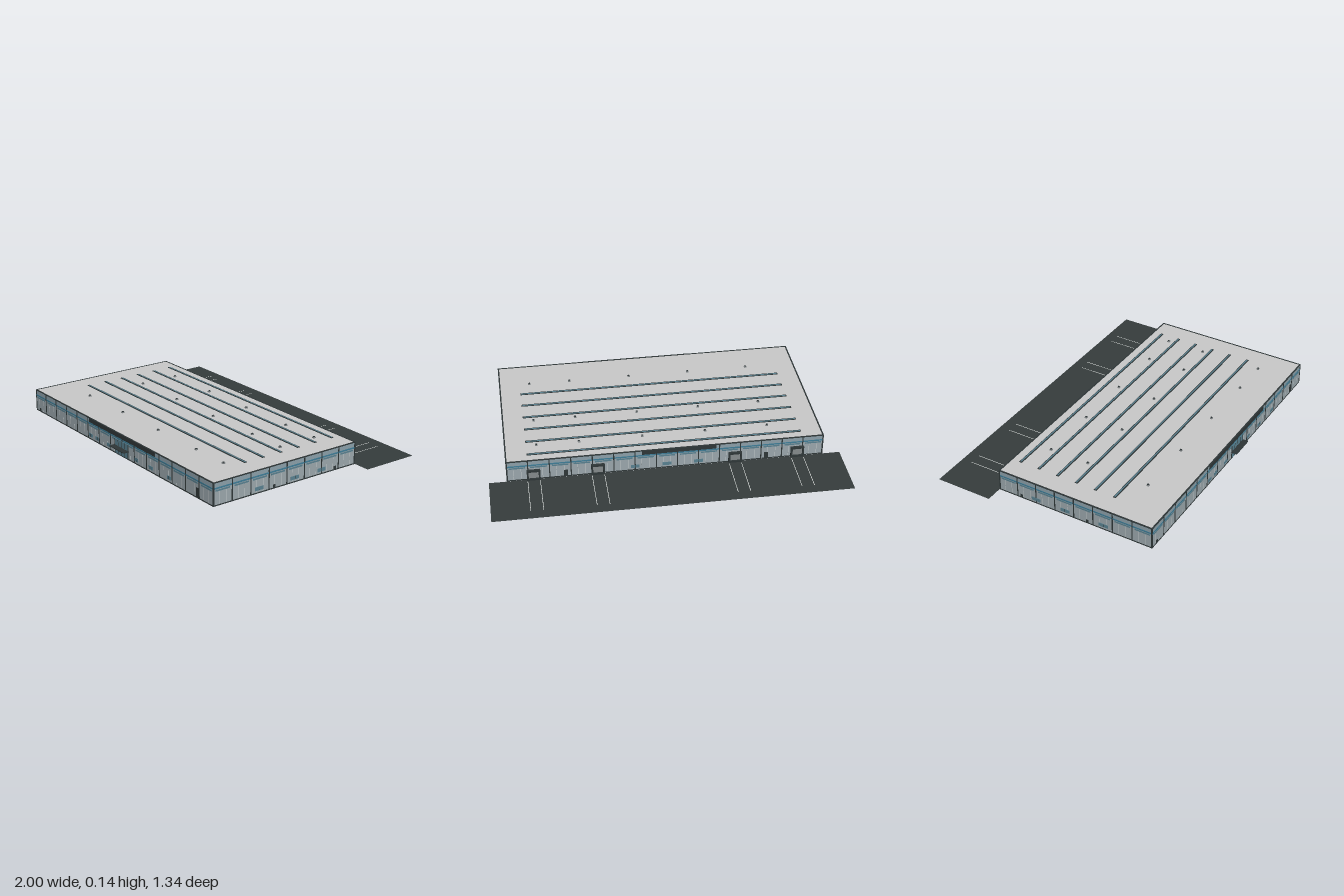
import * as THREE from 'three';

const mat = (name, color) => {
  const m = new THREE.MeshStandardMaterial({ color });
  m.name = name;
  return m;
};

export function createModel() {
  const model = new THREE.Group();
  model.name = 'warehouse';
  const M = {
    wall: mat('wall grey', 0x9aa6ab),
    upper: mat('upper cladding blue grey', 0x8b9fa8),
    dark: mat('charcoal', 0x2e3637),
    asphalt: mat('asphalt', 0x353c3c),
    roof: mat('roof grey', 0xc8c8c8),
    blue: mat('stripe blue', 0x3f7c96),
    glass: mat('glass blue', 0x58808f),
    seam: mat('pale seam', 0xc3cacc),
    line: mat('marking white', 0xe6e8e6),
    vent: mat('vent grey', 0x848a8c),
  };

  // Box centred on x and z, spanning y0 to y1
  const box = (parent, name, material, x, y0, y1, z, w, d) => {
    const m = new THREE.Mesh(new THREE.BoxGeometry(w, y1 - y0, d), material);
    m.position.set(x, (y0 + y1) / 2, z);
    m.name = name;
    parent.add(m);
    return m;
  };

  const W = 1.8, D = 0.96, CZ = 0.15, BAY = 0.12;

  // One clad wall, facing local +z with its outer face near z = 0
  const makeWall = (name, width, x, z, turn) => {
    const g = new THREE.Group();
    g.name = name;
    g.position.set(x, 0, z);
    g.rotation.y = turn;
    box(g, 'lowerCladding', M.wall, 0, 0, 0.095, -0.003, width, 0.004);
    box(g, 'upperCladding', M.upper, 0, 0.095, 0.128, -0.003, width, 0.004);
    box(g, 'plinth', M.dark, 0, 0, 0.006, -0.003, width, 0.007);
    box(g, 'blueStripe', M.blue, 0, 0.092, 0.101, -0.003, width, 0.007);
    box(g, 'coping', M.dark, 0, 0.126, 0.13, -0.003, width, 0.008);
    const bays = Math.round(width / BAY);
    for (let i = 0; i <= bays; i++) {
      const u = -width / 2 + i * BAY;
      const edge = i === 0 ? 0.003 : i === bays ? -0.003 : 0;
      box(g, 'pilaster', M.dark, u + edge, 0, 0.128, -0.003, 0.006, 0.008);
      if (i === bays) continue;
      // High window strip and panel seams in each bay
      box(g, 'stripWindow', M.glass, u + BAY / 2, 0.079, 0.088, -0.003, 0.092, 0.006);
      for (const k of [0.32, 0.68])
        box(g, 'panelSeam', M.seam, u + BAY * k, 0.008, 0.077, -0.003, 0.0025, 0.005);
    }
    model.add(g);
    return g;
  };

  const front = makeWall('frontWall', W, 0, CZ + D / 2, 0);
  const back = makeWall('backWall', W, 0, CZ - D / 2, Math.PI);
  const left = makeWall('leftWall', D, W / 2, CZ, Math.PI / 2);
  const right = makeWall('rightWall', D, -W / 2, CZ, -Math.PI / 2);

  // Low windows and doors
  const lowWindow = (g, u, w = 0.05) => {
    box(g, 'window', M.glass, u, 0.017, 0.037, -0.002, w, 0.007);
    box(g, 'windowMullion', M.dark, u, 0.017, 0.037, -0.002, 0.002, 0.0075);
  };
  const door = (g, u, top, w) => box(g, 'door', M.dark, u, 0.006, top, -0.002, w, 0.0075);
  for (const u of [-0.27, -0.2, -0.08, 0.2, 0.34, 0.51]) lowWindow(front, u, 0.035);
  door(front, 0.765, 0.058, 0.022);
  door(front, -0.85, 0.023, 0.014);
  for (const g of [left, right]) {
    const s = g === left ? 1 : -1;
    for (const z of [0.335, 0.095, -0.09]) lowWindow(g, s * (CZ - z), 0.056);
    for (const z of [0.235, -0.185]) door(g, s * (CZ - z), 0.024, 0.016);
  }

  // Dark fascia panels at the roof edge
  box(front, 'fascia', M.dark, 0.05, 0.104, 0.13, -0.001, 0.66, 0.008);
  box(back, 'fascia', M.dark, 0.07, 0.104, 0.13, -0.001, 0.42, 0.008);

  // Glazed entrance with canopy
  box(front, 'entranceGlass', M.glass, 0.055, 0.006, 0.09, -0.001, 0.13, 0.007);
  for (let i = 0; i <= 4; i++)
    box(front, 'entranceMullion', M.dark, -0.01 + i * 0.0325, 0.006, 0.09, 0, 0.0025, 0.008);
  box(front, 'canopy', M.dark, 0.055, 0.048, 0.053, 0.018, 0.142, 0.036);

  // Roof deck
  box(model, 'roof', M.roof, 0, 0.124, 0.1285, CZ, W - 0.006, D - 0.006);

  // Long skylight strips, showing on both faces of the deck
  for (let i = 0; i < 6; i++) {
    const z = -0.27 + i * 0.12;
    box(model, 'skylightFrame', M.dark, 0, 0.1225, 0.131, z, 1.56, 0.017);
    box(model, 'skylightGlass', M.glass, 0, 0.129, 0.132, z - 0.001, 1.55, 0.007);
  }

  // Roof vents
  for (const z of [-0.19, 0.05, 0.43])
    for (const x of [-0.6, -0.24, 0.12, 0.48, 0.72]) {
      box(model, 'ventBase', M.vent, x, 0.128, 0.135, z, 0.014, 0.014);
      box(model, 'ventCap', M.dark, x, 0.135, 0.138, z, 0.009, 0.009);
    }

  // Loading yard
  box(model, 'yard', M.asphalt, 0, 0, 0.0015, -0.5015, 2, 0.337);

  // Loading docks with lane markings
  for (const x of [-0.75, -0.39, 0.39, 0.75]) {
    const dock = new THREE.Group();
    dock.name = 'loadingDock';
    dock.position.set(x, 0, CZ - D / 2);
    box(dock, 'dockDoor', M.vent, 0, 0.012, 0.058, -0.002, 0.056, 0.006);
    for (const s of [-1, 1]) {
      box(dock, 'dockJamb', M.dark, s * 0.033, 0, 0.066, -0.006, 0.01, 0.014);
      box(dock, 'laneLine', M.line, s * 0.035, 0.0015, 0.0022, -0.15, 0.003, 0.26);
    }
    box(dock, 'dockHeader', M.dark, 0, 0.056, 0.068, -0.006, 0.076, 0.014);
    box(dock, 'dockSill', M.dark, 0, 0, 0.012, -0.007, 0.076, 0.014);
    model.add(dock);
  }
  // Personnel doors and windows beside the docks
  for (const u of [-0.57, 0.57]) door(back, u, 0.045, 0.022);
  for (const u of [-0.18, 0, 0.18]) lowWindow(back, u);

  return model;
}
